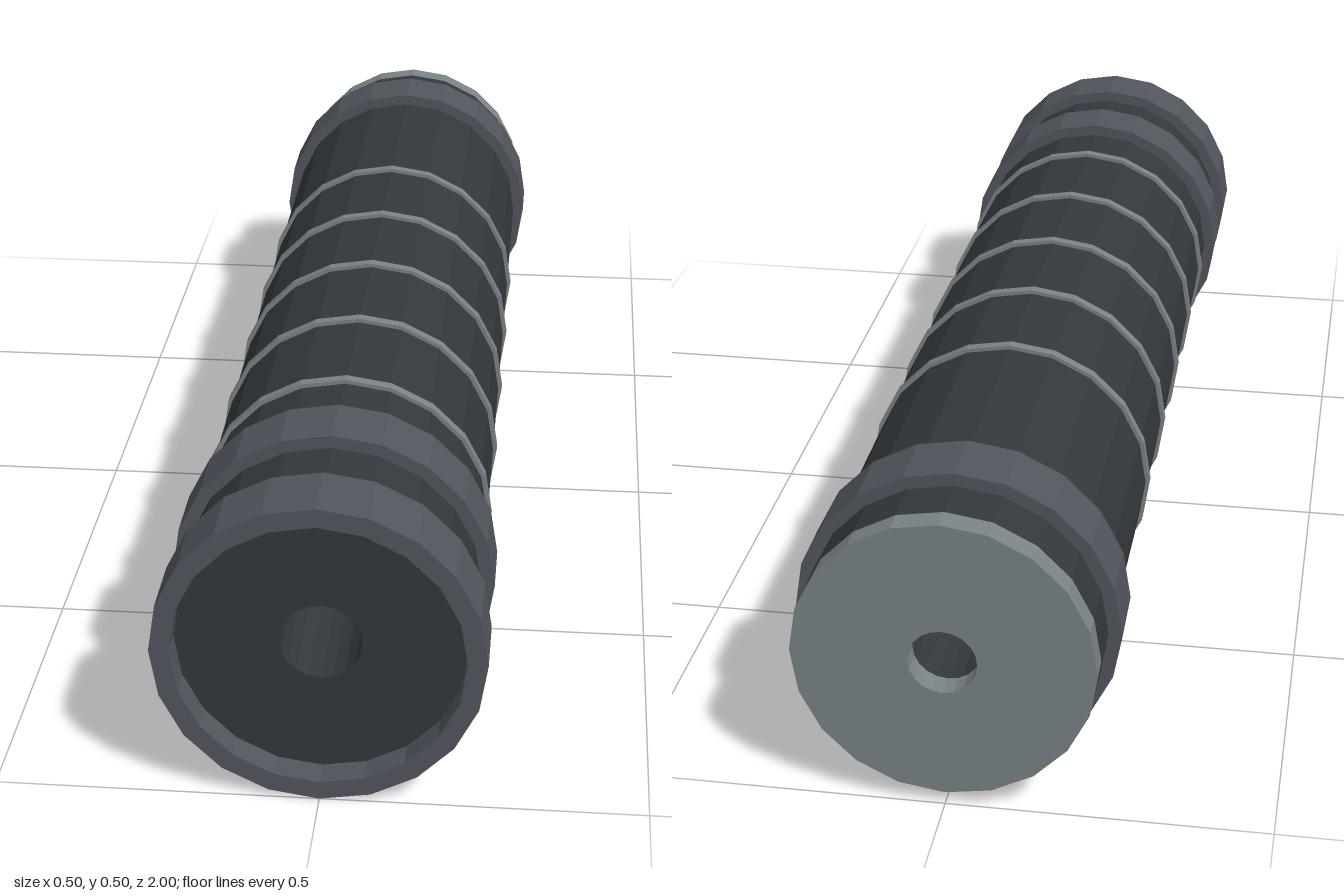
import * as THREE from 'three';

const SIDES = 20;
const AXIS_Y = 0.2525;

const bodyMat = new THREE.MeshStandardMaterial({ color: 0x33383b, flatShading: true });
const collarMat = new THREE.MeshStandardMaterial({ color: 0x51565e, flatShading: true });
const metalMat = new THREE.MeshStandardMaterial({ color: 0x7a8388, flatShading: true });

// Hollow ring along z, from back to front
function tube(name, outer, inner, back, front, material) {
  const profile = [
    [inner, back], [outer, back], [outer, front], [inner, front], [inner, back],
  ].map(([r, z]) => new THREE.Vector2(r, z));
  const geometry = new THREE.LatheGeometry(profile, SIDES);
  geometry.rotateX(Math.PI / 2);
  const mesh = new THREE.Mesh(geometry, material);
  mesh.name = name;
  mesh.position.y = AXIS_Y;
  return mesh;
}

export function createModel() {
  const group = new THREE.Group();
  group.name = 'ribbedTube';

  // Main body with a bore right through, set back slightly from the front rim
  group.add(tube('body', 0.232, 0.063, -0.96, 0.955, bodyMat));

  // Front rim and the two raised collars
  group.add(tube('frontRim', 0.2525, 0.222, 0.89, 1, collarMat));
  group.add(tube('frontCollar', 0.2525, 0.222, 0.67, 0.775, collarMat));
  group.add(tube('rearCollar', 0.2525, 0.222, -0.88, -0.772, collarMat));

  // Thin evenly spaced bands
  for (let i = 0; i < 5; i++) {
    const z = 0.547 - i * 0.2335;
    group.add(tube(`band${i + 1}`, 0.2385, 0.222, z - 0.009, z + 0.009, metalMat));
  }

  // Rear cap with a narrower hole
  group.add(tube('rearCap', 0.232, 0.053, -1, -0.96, metalMat));

  return group;
}
